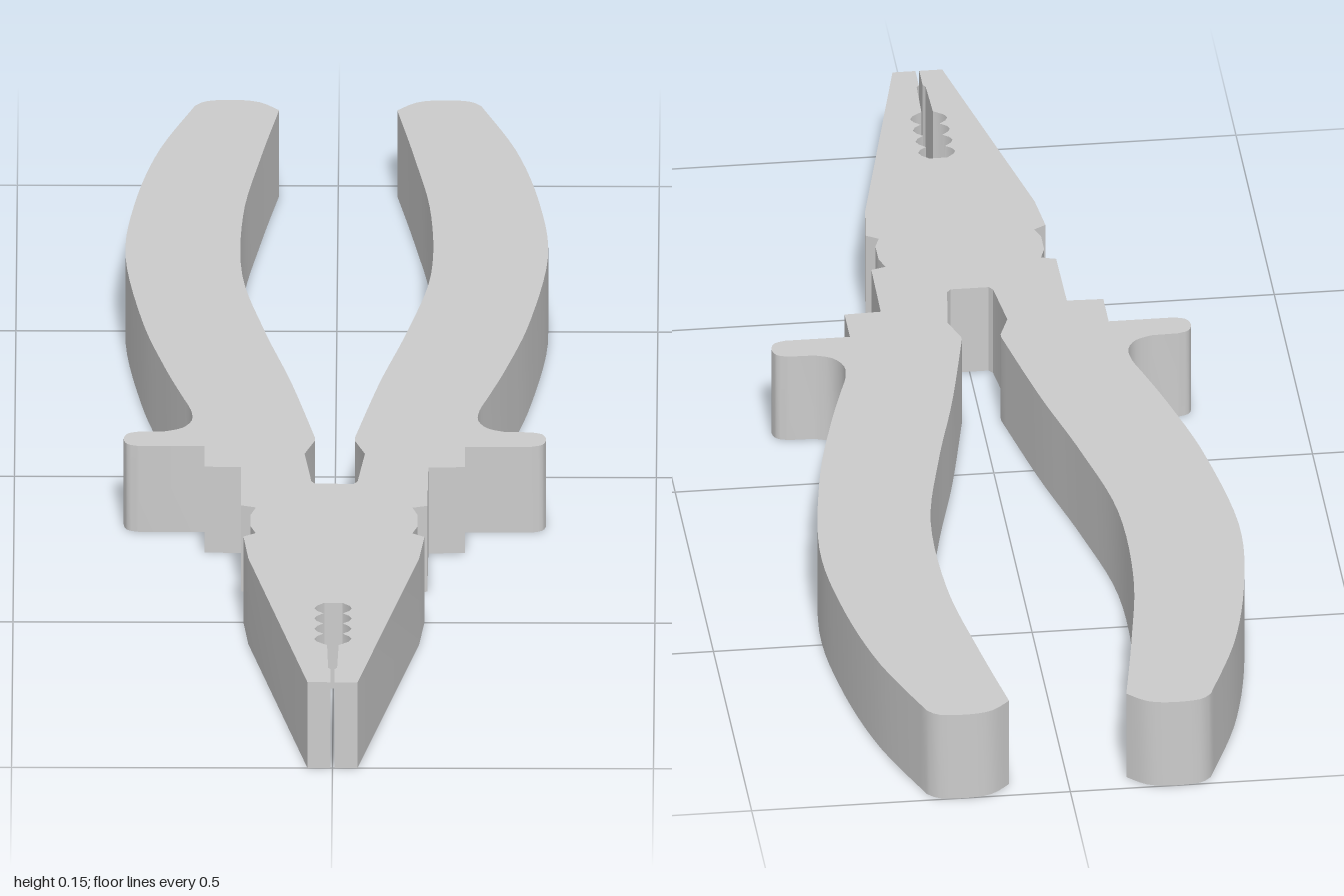
import * as THREE from 'three';
import { toCreasedNormals } from 'three/addons/utils/BufferGeometryUtils.js';

const THICKNESS = 0.15;
const points = (list) => list.map(([x, z]) => new THREE.Vector2(x, z));
const smooth = (list, n) => new THREE.SplineCurve(points(list)).getPoints(n);

// Outline of the +x half as (x, z), from the jaw tip round the handle to the crotch
function halfOutline() {
  // Toothed slit between the jaws, running out to the tip
  const slit = [[0, 0.727], [0.014, 0.727]];
  for (let i = 0; i < 4; i++) {
    const z = 0.737 + i * 0.035;
    slit.push([0.025, z], [0.029, z + 0.009], [0.025, z + 0.018], [0.015, z + 0.026]);
  }
  slit.push([0.009, 0.872], [0.007, 0.95], [0.003, 0.955], [0.003, 1]);

  // Jaw side, pivot notch and step
  const jaw = [[0.039, 1], [0.133, 0.575], [0.141, 0.5], [0.122, 0.488], [0.13, 0.465],
    [0.13, 0.425], [0.122, 0.4], [0.145, 0.393], [0.146, 0.262], [0.203, 0.26], [0.203, 0.19]];

  // Rounded finger guard, blending into the handle
  const guard = smooth([[0.305, 0.19], [0.323, 0.183], [0.329, 0.165], [0.323, 0.147], [0.305, 0.14]], 12);
  const fillet = smooth([[0.265, 0.139], [0.238, 0.127], [0.223, 0.1], [0.225, 0.065], [0.235, 0.03]], 12);

  // Handle: outer side, end and inner side
  const outer = smooth([[0.235, 0.03], [0.266, -0.08], [0.302, -0.24], [0.329, -0.46],
    [0.316, -0.64], [0.28, -0.82], [0.223, -0.98]], 32);
  const end = smooth([[0.223, -0.98], [0.204, -0.996], [0.16, -1], [0.122, -0.992], [0.092, -0.965]], 12);
  const inner = smooth([[0.092, -0.965], [0.12, -0.8], [0.146, -0.61], [0.147, -0.4],
    [0.112, -0.21], [0.069, -0.03], [0.031, 0.16]], 32);
  const crotch = [[0.031, 0.17], [0.047, 0.215], [0.036, 0.31], [0.03, 0.318], [0, 0.318]];

  return [...points(slit), ...points(jaw), ...guard, ...fillet, ...outer.slice(1),
    ...end.slice(1), ...inner.slice(1), ...points(crotch)];
}

export function createModel() {
  const group = new THREE.Group();
  group.name = 'pliers';

  // Mirror the half, dropping the two shared points on the centre line
  const half = halfOutline();
  const mirrored = half.slice(1, -1).reverse().map((p) => new THREE.Vector2(-p.x, p.y));
  const shape = new THREE.Shape([...half, ...mirrored].map((p) => new THREE.Vector2(p.x, -p.y)));

  // Lay the flat extrusion on the ground, jaws toward the front
  const geometry = new THREE.ExtrudeGeometry(shape, { depth: THICKNESS, bevelEnabled: false });
  geometry.rotateX(-Math.PI / 2);

  const body = new THREE.Mesh(
    toCreasedNormals(geometry, Math.PI / 6),
    new THREE.MeshStandardMaterial({ color: 0xcccccc })
  );
  body.name = 'jawsAndHandles';
  group.add(body);
  return group;
}
